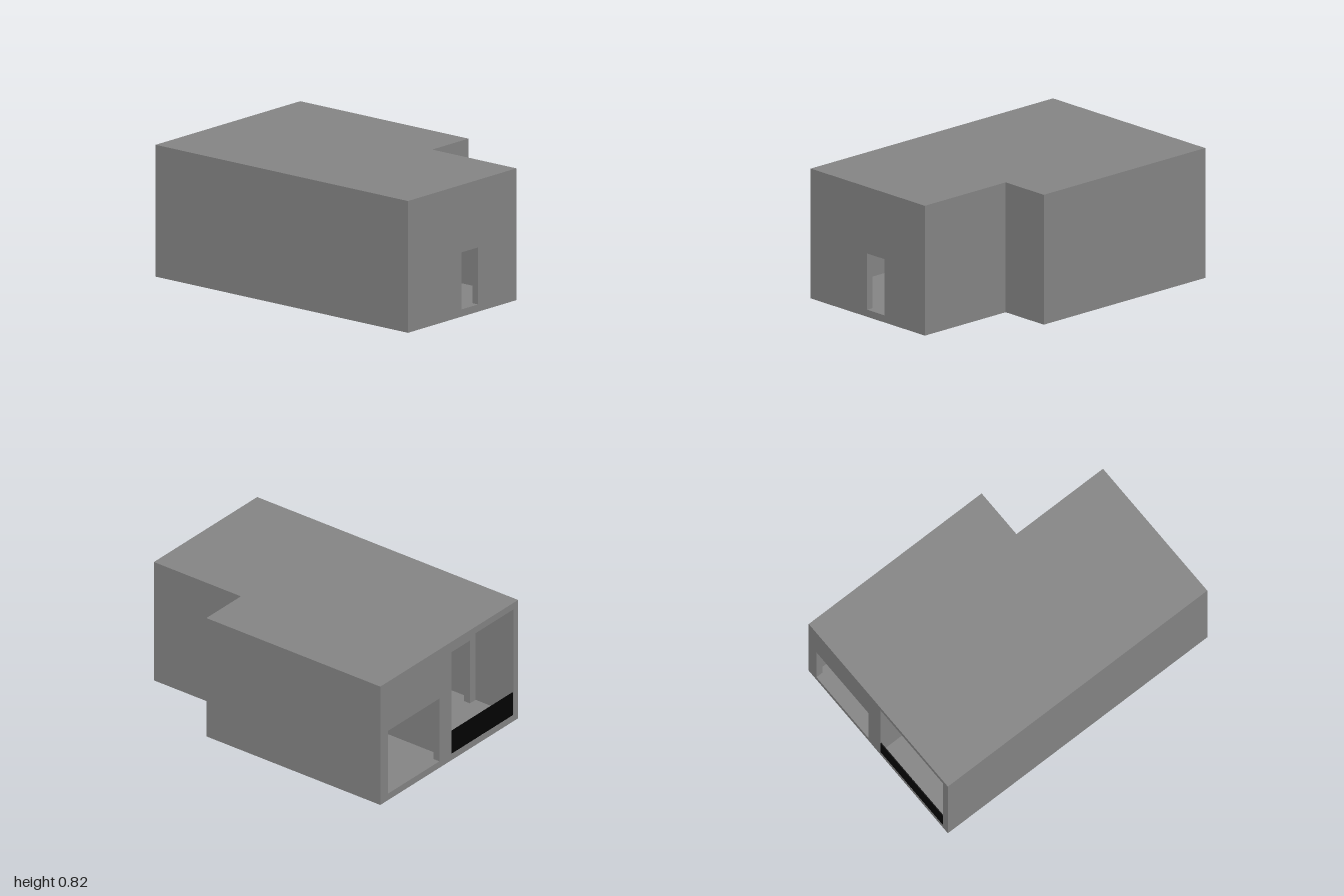
import * as THREE from 'three';

export function createModel() {
  const model = new THREE.Group();
  const grey = new THREE.MeshStandardMaterial({ color: 0x848484, flatShading: true });
  const black = new THREE.MeshStandardMaterial({ color: 0x030303, flatShading: true });

  const T = 0.045, H = 0.82;          // wall and slab thickness, overall height
  const FLOOR = T, CEIL = H - T;      // interior levels
  const W = 1, D = 0.667;             // half width and half depth
  const NX = 0.333, NZ = -0.333;      // inner corner of the back notch

  function add(name, geometry, material = grey) {
    const mesh = new THREE.Mesh(geometry, material);
    mesh.name = name;
    model.add(mesh);
    return mesh;
  }

  function box(name, x0, x1, y0, y1, z0, z1, material) {
    add(name, new THREE.BoxGeometry(x1 - x0, y1 - y0, z1 - z0), material)
      .position.set((x0 + x1) / 2, (y0 + y1) / 2, (z0 + z1) / 2);
  }

  // L-shaped slab covering the whole plan
  function slab(name, y) {
    const plan = [[-W, -D], [W, -D], [W, -NZ], [NX, -NZ], [NX, D], [-W, D]];
    const shape = new THREE.Shape(plan.map(([x, v]) => new THREE.Vector2(x, v)));
    const geometry = new THREE.ExtrudeGeometry(shape, { depth: T, bevelEnabled: false });
    geometry.rotateX(-Math.PI / 2).translate(0, y, 0);
    add(name, geometry);
  }

  // Wall running along z, with a floor-level opening from d0 to d1 up to height top
  function wallWithOpening(name, x, z0, z1, d0, d1, top) {
    const outline = [[z0, FLOOR], [d0, FLOOR], [d0, top], [d1, top], [d1, FLOOR],
      [z1, FLOOR], [z1, CEIL], [z0, CEIL]];
    const shape = new THREE.Shape(outline.map(([z, y]) => new THREE.Vector2(z, y)));
    const geometry = new THREE.ExtrudeGeometry(shape, { depth: T, bevelEnabled: false });
    geometry.rotateY(-Math.PI / 2).translate(x + T, 0, 0);
    add(name, geometry);
  }

  slab('floor', 0);
  slab('roof', CEIL);

  // Closed outer walls
  box('frontWall', -W, W, FLOOR, CEIL, D - T, D);
  box('backWall', -W, NX, FLOOR, CEIL, -D, -D + T);
  box('notchSideWall', NX - T, NX, FLOOR, CEIL, -D + T, NZ + T);
  box('notchBackWall', NX, W, FLOOR, CEIL, NZ, NZ + T);

  // Outer walls with openings
  wallWithOpening('leftWall', W - T, NZ + T, D - T, 0.02, 0.173, 0.4);
  wallWithOpening('rightWall', -W, -D + T, 0.02, -0.593, -0.095, 0.48);

  // Interior walls around the recessed balcony
  box('dividingWall', -W + T, 0, FLOOR, CEIL, -0.03, 0.02);
  wallWithOpening('balconyInnerWall', -0.71, 0.02, D - T, 0.075, 0.567, 0.48);

  // Row of dark balcony railing panels, separated by narrow gaps
  const panels = 4, gap = 0.003, start = 0.02;
  const pitch = (D - T - start) / panels;
  for (let i = 0; i < panels; i++) {
    const z = start + i * pitch;
    box('balconyPanel', -W, -W + 0.006, FLOOR, 0.2, z, z + pitch - gap, black);
  }

  return model;
}
